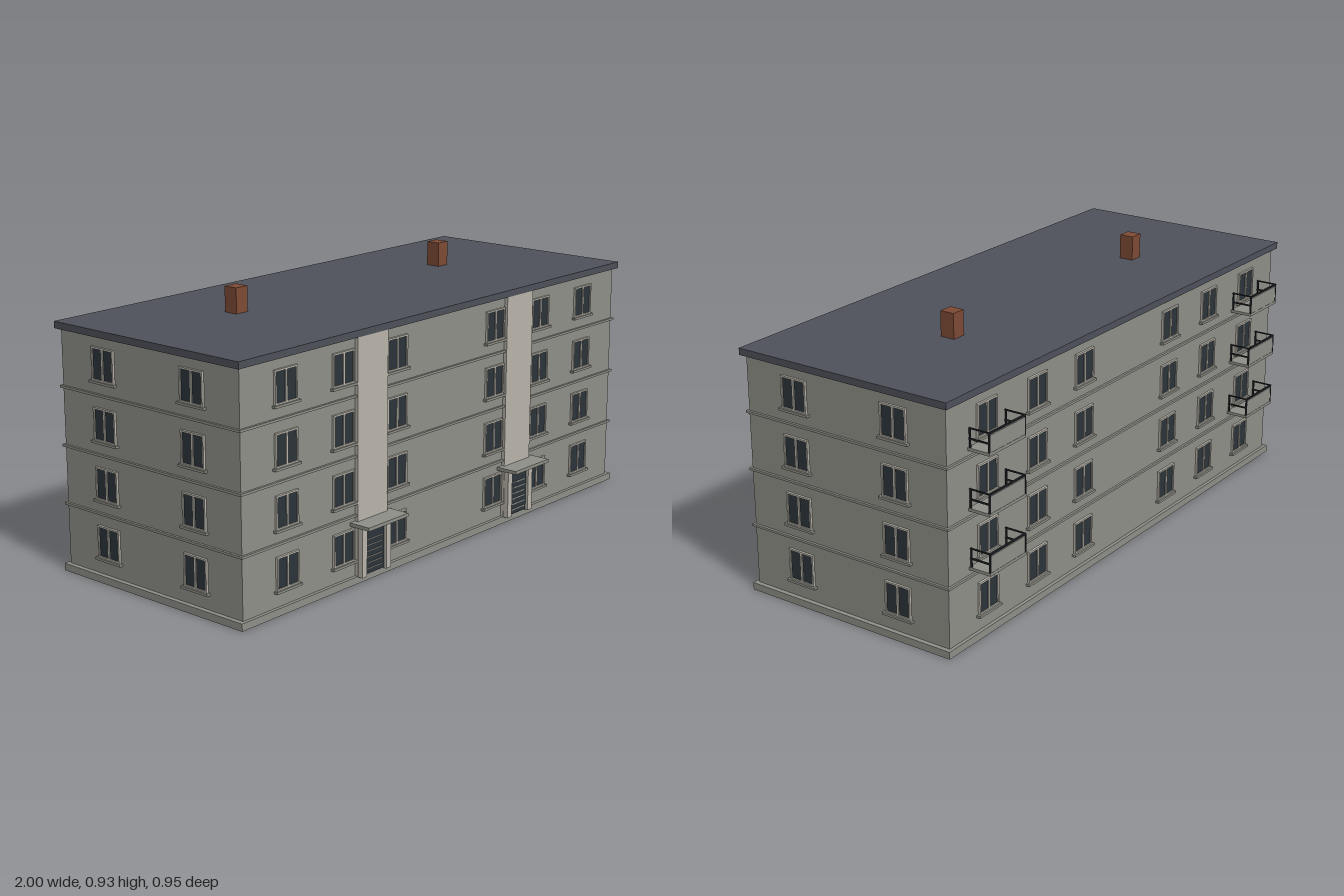
import * as THREE from 'three';

const mat = (name, color, side = THREE.FrontSide) => {
  const m = new THREE.MeshStandardMaterial({ color, side });
  m.name = name;
  return m;
};

export function createModel() {
  const wall = mat('wall grey', 0x8f8f88);
  const trim = mat('pale trim', 0xb8b4aa);
  const glass = mat('dark glass', 0x2b343a);
  const roofing = mat('slate roof', 0x4e515a);
  const brick = mat('brick', 0x7d4a34);
  const iron = mat('dark iron', 0x22262a);

  const model = new THREE.Group();
  model.name = 'apartmentBlock';

  // box given by its min and max on each axis
  const box = (parent, name, m, x0, x1, y0, y1, z0, z1) => {
    const mesh = new THREE.Mesh(new THREE.BoxGeometry(x1 - x0, y1 - y0, z1 - z0), m);
    mesh.position.set((x0 + x1) / 2, (y0 + y1) / 2, (z0 + z1) / 2);
    mesh.name = name;
    parent.add(mesh);
    return mesh;
  };
  const group = (parent, name, x = 0, y = 0, z = 0, turn = 0) => {
    const g = new THREE.Group();
    g.name = name;
    g.position.set(x, y, z);
    g.rotation.y = turn;
    parent.add(g);
    return g;
  };

  const W = 0.984, D = 0.393, CZ = 0.003, PITCH = 0.197;

  // main body, plinth and flat roof
  const body = group(model, 'building', 0, 0, CZ);
  box(body, 'walls', wall, -W, W, 0.025, 0.817, -D, D);
  box(body, 'plinth', wall, -1, 1, 0, 0.025, -0.405, 0.405);
  box(body, 'roof', roofing, -1, 1, 0.816, 0.839, -0.408, 0.408);

  // string courses between the floors
  for (let i = 1; i < 4; i++) {
    const y = 0.034 + PITCH * i;
    box(body, 'floorBand', wall, -W - 0.008, W + 0.008, y - 0.004, y + 0.004, -D - 0.008, D + 0.008);
  }

  // window facing local +z, origin at bottom centre on the wall
  const addWindow = (x, y, z, turn) => {
    const g = group(body, 'window', x, y, z, turn);
    const h = 0.11, w = 0.05, b = 0.006, d = 0.008;
    box(g, 'glass', glass, -w + 0.002, w - 0.002, 0.002, h - 0.002, -0.002, 0.004);
    for (const s of [-1, 1]) box(g, 'frameSide', trim, s * (w - b / 2) - b / 2, s * (w - b / 2) + b / 2, 0, h, 0, d);
    box(g, 'mullion', trim, -0.004, 0.004, b, h - b, 0, d);
    box(g, 'frameTop', trim, -w + b, w - b, h - b, h, 0, d);
    box(g, 'frameBottom', trim, -w + b, w - b, 0, b, 0, d);
    box(g, 'sill', wall, -0.058, 0.058, -0.007, 0.001, 0, 0.014);
  };

  for (let floor = 0; floor < 4; floor++) {
    const y = 0.08 + PITCH * floor;
    for (const s of [-1, 1]) {
      for (const x of [0.263, 0.525, 0.788]) {
        addWindow(s * x, y, D, 0);
        addWindow(s * x, y, -D, Math.PI);
      }
      for (const z of [-0.197, 0.197]) addWindow(s * W, y, z, s * Math.PI / 2);
    }
  }

  for (const s of [-1, 1]) {
    // stairwell strip, entrance and canopy
    const e = group(body, 'entrance', s * 0.393, 0, D);
    box(e, 'stairwellStrip', trim, -0.074, 0.074, 0.2, 0.816, 0, 0.0125);
    box(e, 'canopy', wall, -0.098, 0.098, 0.199, 0.211, 0, 0.08);
    box(e, 'porchBack', trim, -0.074, 0.074, 0.024, 0.199, 0, 0.0125);
    for (const k of [-1, 1]) box(e, 'doorJamb', trim, k * 0.06 - 0.012, k * 0.06 + 0.012, 0.022, 0.19, 0, 0.03);
    box(e, 'doorLintel', trim, -0.048, 0.048, 0.179, 0.19, 0, 0.03);
    box(e, 'door', glass, -0.048, 0.048, 0.025, 0.179, 0.01, 0.02);
    for (let i = 0; i < 6; i++) {
      const y = 0.04 + i * 0.02;
      box(e, 'doorSlat', trim, -0.038, 0.038, y, y + 0.003, 0.018, 0.023);
    }

    // chimney
    box(model, 'chimney', brick, s * 0.524 - 0.026, s * 0.524 + 0.026, 0.83, 0.925, -0.088, -0.036);

    // rear balconies: slab, solid front panel and open side railings
    for (let i = 0; i < 3; i++) {
      const b = group(model, 'balcony', s * 0.788, 0.262 + PITCH * i, 0);
      const hw = 0.093, back = -0.388, front = -0.471;
      box(b, 'slab', wall, -hw, hw, -0.01, 0, front, back);
      box(b, 'frontPanel', wall, -hw + 0.004, hw - 0.004, 0, 0.056, front + 0.001, front + 0.006);
      box(b, 'frontRail', iron, -hw, hw, 0.06, 0.065, front, front + 0.006);
      for (const k of [-1, 1]) {
        const x0 = k * (hw - 0.0025) - 0.0025, x1 = x0 + 0.005;
        box(b, 'outerPost', iron, x0, x1, 0, 0.062, front, front + 0.006);
        box(b, 'innerPost', iron, x0, x1, 0, 0.062, -0.4, -0.395);
        box(b, 'sideTopRail', iron, x0, x1, 0.061, 0.065, front + 0.006, -0.394);
        box(b, 'sideMidRail', iron, x0, x1, 0.027, 0.032, front + 0.006, -0.394);
      }
    }
  }
  return model;
}
